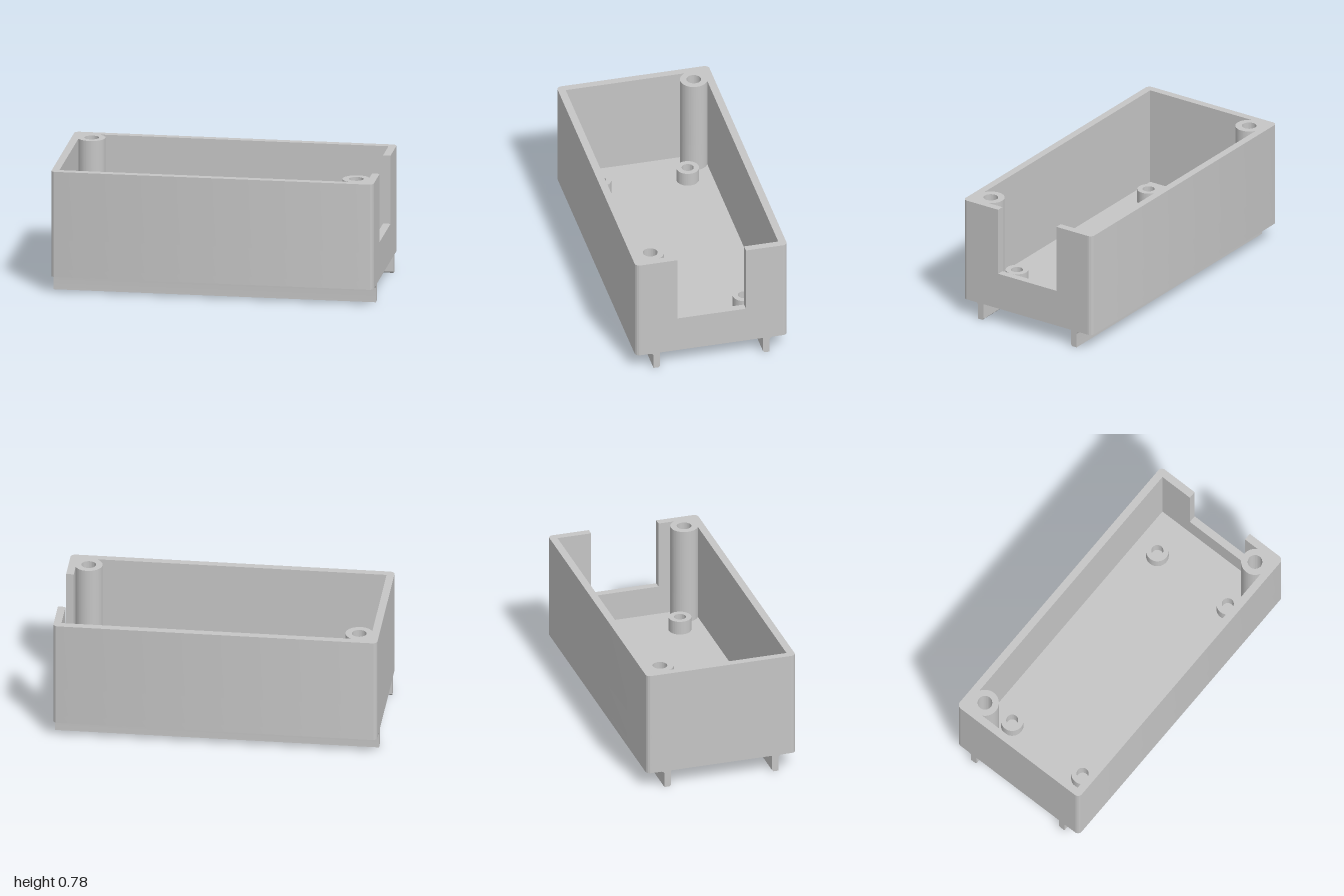
import * as THREE from 'three';
import { toCreasedNormals } from 'three/addons/utils/BufferGeometryUtils.js';

const HX = 1, HZ = 0.48, R = 0.03;             // outer half sizes and corner radius
const IX = 0.953, IZ = 0.433;                  // inner half sizes
const BOTTOM = 0.108, FLOOR = 0.157, SILL = 0.343, RIM = 0.776;
const NOTCH = 0.217;                           // half width of the opening in the +x wall
const PX = 0.877, PZ = 0.357, PR = 0.085, PHOLE = 0.045; // corner screw posts
const SEGMENTS = 64;                           // fine arcs keep the flat walls evenly shaded

export function createModel() {
  const group = new THREE.Group();
  const grey = new THREE.MeshStandardMaterial({ color: 0xc5c5c5 });
  grey.name = 'grey plastic';

  const add = (name, geometry) => {
    const mesh = new THREE.Mesh(toCreasedNormals(geometry, 0.5), grey);
    mesh.name = name;
    group.add(mesh);
    return mesh;
  };
  const extrude = (shape, depth) =>
    new THREE.ExtrudeGeometry(shape, { depth, bevelEnabled: false, curveSegments: SEGMENTS });
  // Plan shapes use (x, -z) and are raised from y0 to y1
  const raise = (shape, y0, y1) =>
    extrude(shape, y1 - y0).rotateX(-Math.PI / 2).translate(0, y0, 0);
  const circle = (x, y, r) => new THREE.Path().absarc(x, y, r, 0, Math.PI * 2, true);

  // Rounded outer outline, starting and ending at the notch
  const outer = () => {
    const s = new THREE.Shape();
    s.moveTo(HX, NOTCH);
    s.lineTo(HX, HZ - R);
    [[1, 1], [-1, 1], [-1, -1], [1, -1]].forEach(([sx, sy], i) =>
      s.absarc(sx * (HX - R), sy * (HZ - R), R, i * Math.PI / 2, (i + 1) * Math.PI / 2, false));
    s.lineTo(HX, -NOTCH);
    return s;
  };
  // Cavity outline, bulging around the two corner posts
  const inner = (p) => {
    const a0 = Math.acos((IX - PX) / PR), a1 = Math.PI + Math.asin((IZ - PZ) / PR);
    p.absarc(PX, -PZ, PR, a0, a1, false);
    p.lineTo(-IX, -IZ);
    p.absarc(-PX, PZ, PR, a0 + Math.PI, a1 + Math.PI, false);
    p.lineTo(IX, IZ);
    p.lineTo(IX, NOTCH);
    return p;
  };
  const postHoles = () => [circle(PX, -PZ, PHOLE), circle(-PX, PZ, PHOLE)];

  add('floor', raise(outer(), BOTTOM, FLOOR));

  // Closed wall ring below the opening
  const lower = outer();
  lower.holes.push(inner(new THREE.Path()), ...postHoles());
  add('lowerWalls', raise(lower, FLOOR, SILL));

  // Wall ring interrupted by the opening
  const upper = outer();
  upper.lineTo(IX, -NOTCH);
  inner(upper);
  upper.holes.push(...postHoles());
  add('upperWalls', raise(upper, SILL, RIM));

  // Short hollow standoffs on the floor
  for (const x of [-0.71, 0.71]) for (const z of [-0.277, 0.277]) {
    const ring = new THREE.Shape().absarc(x, -z, 0.07, 0, Math.PI * 2, false);
    ring.holes.push(circle(x, -z, 0.037));
    add('standoff', raise(ring, FLOOR, 0.244));
  }

  // Mounting rails: chamfered inner foot, filleted outer root
  const rail = new THREE.Shape();
  rail.moveTo(0.325, BOTTOM);
  rail.lineTo(0.325, 0.01);
  rail.lineTo(0.335, 0);
  rail.lineTo(0.367, 0);
  rail.absarc(0.387, BOTTOM - 0.02, 0.02, Math.PI, Math.PI / 2, true);
  const railGeometry = extrude(rail, 2 * HX).translate(0, 0, -HX).rotateY(Math.PI / 2);
  add('backRail', railGeometry);
  add('frontRail', railGeometry).rotation.y = Math.PI;

  return group;
}
